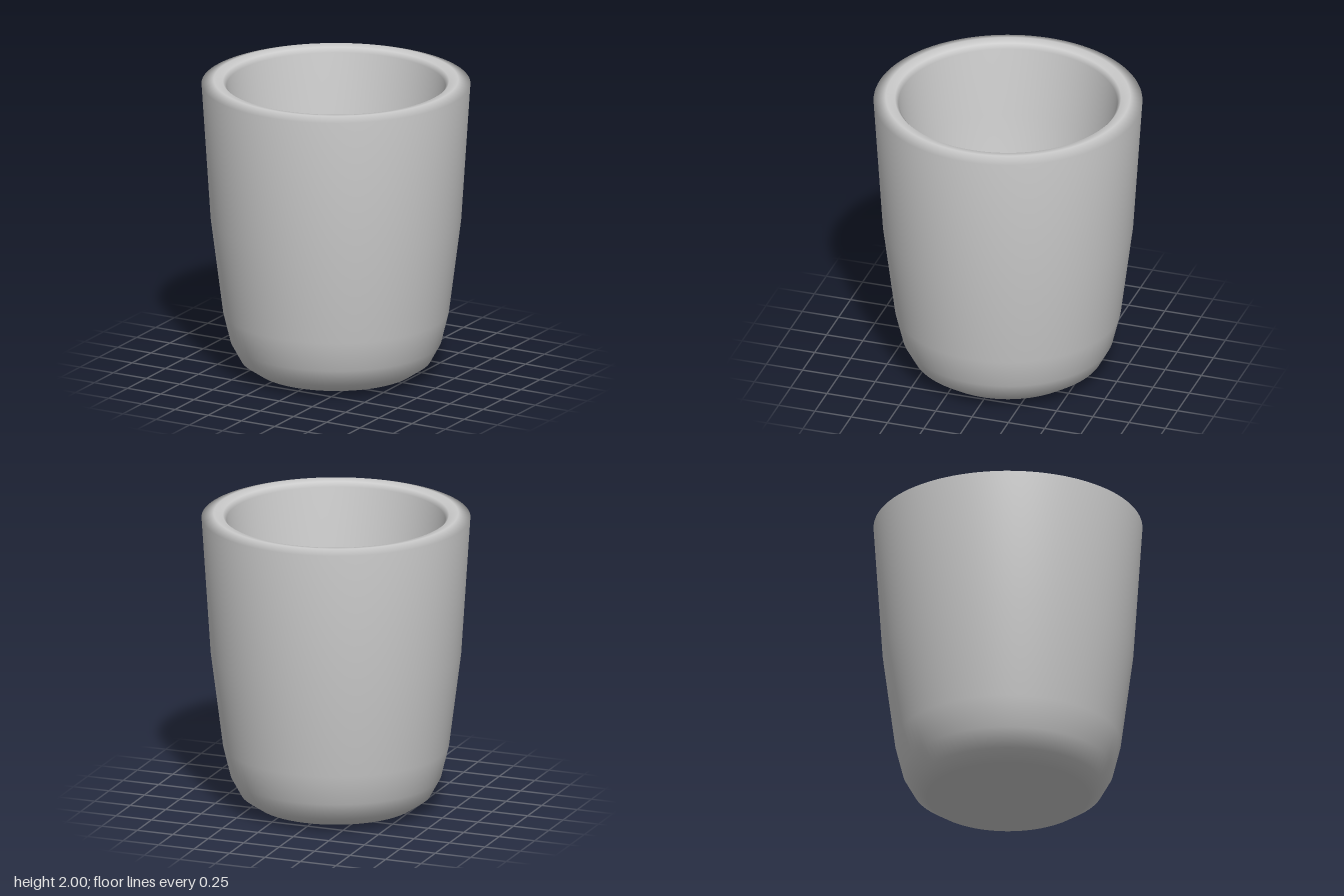
import * as THREE from 'three';

export function createModel() {
  const group = new THREE.Group();
  const material = new THREE.MeshStandardMaterial({ color: 0xcccccc });

  // One closed profile: underside, outer wall, rounded rim, inner wall, floor
  const profile = [
    [0, 0], [0.53, 0.03], [0.625, 0.095], [0.69, 0.215], [0.74, 0.42],
    [0.82, 1.05], [0.88, 1.975], [0.8, 2], [0.74, 1.99], [0.715, 1.96],
    [0.66, 1.5], [0.56, 0.9], [0.41, 0.26], [0.35, 0.2], [0, 0.18],
  ].map(([r, y]) => new THREE.Vector2(r, y));

  const cup = new THREE.Mesh(new THREE.LatheGeometry(profile, 96), material);
  cup.name = 'cup';
  group.add(cup);
  return group;
}
